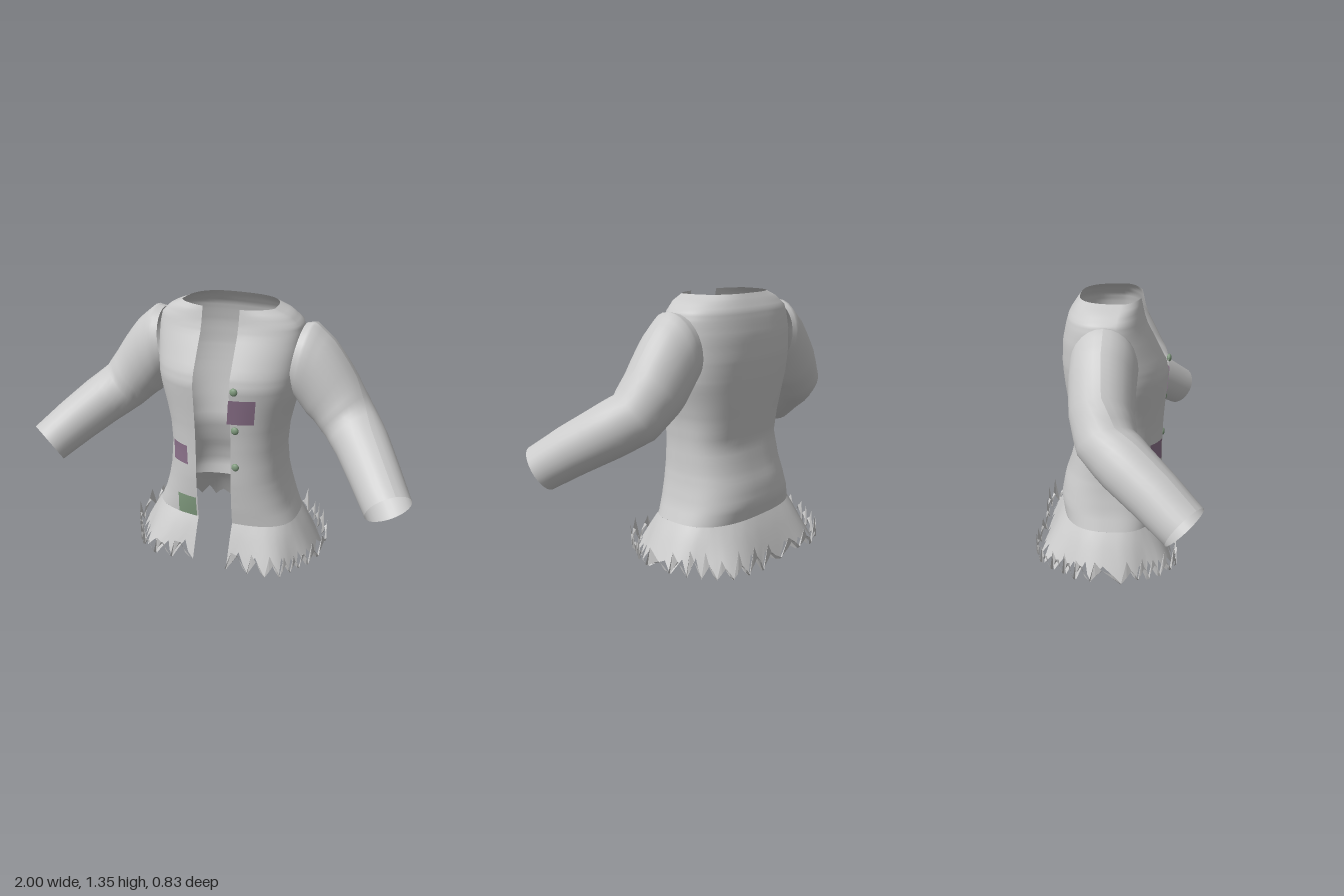
import * as THREE from 'three';

const cloth = new THREE.MeshStandardMaterial({ color: 0xcacaca, side: THREE.DoubleSide });
cloth.name = 'greyCloth';
const purple = new THREE.MeshStandardMaterial({ color: 0x8a7089, side: THREE.DoubleSide });
purple.name = 'purplePatch';
const green = new THREE.MeshStandardMaterial({ color: 0x809a7e, side: THREE.DoubleSide });
green.name = 'greenPatch';

const GAP = 0.095; // half width of the front opening

// Body sections: y, half width, front z, back z, z of the widest point, front and back roundness
const ROWS = [
  [1.36, 0.24, 0.14, -0.172, 0.04, 1.1, 0.7],
  [1.33, 0.31, 0.142, -0.195, 0.03, 1.0, 0.7],
  [1.285, 0.36, 0.15, -0.225, 0.01, 0.9, 0.72],
  [1.24, 0.372, 0.165, -0.238, 0, 0.85, 0.75],
  [1.165, 0.375, 0.205, -0.254, 0, 0.85, 0.75],
  [1.06, 0.37, 0.26, -0.26, 0, 0.85, 0.75],
  [1.0, 0.365, 0.275, -0.256, 0, 0.85, 0.75],
  [0.94, 0.357, 0.27, -0.25, 0, 0.85, 0.75],
  [0.835, 0.328, 0.26, -0.237, 0, 0.82, 0.75],
  [0.74, 0.308, 0.253, -0.222, 0, 0.8, 0.75],
  [0.62, 0.301, 0.25, -0.204, 0, 0.8, 0.75],
  [0.49, 0.31, 0.25, -0.237, 0, 0.78, 0.75],
  [0.41, 0.325, 0.244, -0.265, 0, 0.75, 0.75],
  [0.32, 0.35, 0.236, -0.282, 0, 0.72, 0.75],
  [0.24, 0.385, 0.225, -0.267, 0, 0.7, 0.75],
];
const HEM = [0.02, 0.495, 0.325, -0.395, 0, 0.65, 0.75];

const mix = (a, b, t) => a.map((v, i) => v + (b[i] - v) * t);

function rowAt(y) {
  let i = 0;
  while (i < ROWS.length - 2 && y < ROWS[i + 1][0]) i++;
  return mix(ROWS[i], ROWS[i + 1], (y - ROWS[i][0]) / (ROWS[i + 1][0] - ROWS[i][0]));
}

// Point on a section; u runs from the left front edge round the back to the right front edge
function sectionPoint([y, w, zf, zb, cz, ef, eb], u, grow = 0) {
  const start = Math.asin(Math.pow(GAP / w, 1 / ef));
  const a = start + u * (2 * Math.PI - 2 * start);
  const s = Math.sin(a), c = Math.cos(a), e = c > 0 ? ef : eb;
  const x = Math.sign(s) * Math.pow(Math.abs(s), e) * w;
  const z = cz + Math.sign(c) * Math.pow(Math.abs(c), e) * (c > 0 ? zf - cz : cz - zb);
  const edge = Math.min(1, Math.min(u, 1 - u) * 12); // keeps the opening straight
  return [x * (1 + edge * grow / w), y, z + Math.sign(c) * Math.min(1, Math.abs(c) * 2) * grow];
}

function frontZ(x, y) {
  const [, w, zf, , cz, ef] = rowAt(y);
  const s = Math.pow(Math.abs(x) / w, 1 / ef);
  return cz + (zf - cz) * Math.pow(Math.sqrt(1 - s * s), ef);
}

// Surface over a grid of points
function loft(nu, nv, point, flat = false) {
  const pos = [], idx = [];
  for (let j = 0; j <= nv; j++) for (let i = 0; i <= nu; i++) pos.push(...point(i, j));
  for (let j = 0; j < nv; j++) for (let i = 0; i < nu; i++) {
    const a = j * (nu + 1) + i, b = a + nu + 1;
    idx.push(a, a + 1, b, a + 1, b + 1, b);
  }
  let g = new THREE.BufferGeometry();
  g.setAttribute('position', new THREE.Float32BufferAttribute(pos, 3));
  g.setIndex(idx);
  if (flat) g = g.toNonIndexed();
  g.computeVertexNormals();
  return g;
}

function add(parent, name, geometry, material) {
  const m = new THREE.Mesh(geometry, material);
  m.name = name;
  parent.add(m);
  return m;
}

// Sleeve stations: centre, direction, vertical radius, sideways radius
const SLEEVE = [
  [0.35, 1.11, -0.03, 1, -0.15, 0, 0.175, 0.15],
  [0.39, 1.095, -0.03, 1, -0.17, 0, 0.2, 0.158],
  [0.455, 1.03, -0.033, 1, -0.33, 0, 0.195, 0.155],
  [0.54, 0.925, -0.03, 0.8, -0.65, 0.05, 0.158, 0.148],
  [0.625, 0.825, 0, 0.72, -0.62, 0.35, 0.14, 0.14],
  [0.715, 0.755, 0.095, 0.57, -0.5, 0.65, 0.133, 0.132],
  [0.81, 0.67, 0.22, 0.52, -0.5, 0.69, 0.124, 0.122],
  [0.905, 0.578, 0.343, 0.52, -0.5, 0.69, 0.113, 0.113],
];

function sleeveGeometry(side) {
  const per = 3, sides = 28;
  return loft(sides, (SLEEVE.length - 1) * per, (i, j) => {
    const k = Math.min(SLEEVE.length - 2, Math.floor(j / per));
    const s = mix(SLEEVE[k], SLEEVE[k + 1], j / per - k);
    const n = new THREE.Vector3(s[3], s[4], s[5]).normalize();
    const across = new THREE.Vector3().crossVectors(n, new THREE.Vector3(0, 1, 0)).normalize();
    const up = new THREE.Vector3().crossVectors(across, n);
    const a = side * (i / sides) * Math.PI * 2;
    const p = new THREE.Vector3(s[0], s[1], s[2])
      .addScaledVector(up, Math.cos(a) * s[6]).addScaledVector(across, Math.sin(a) * s[7]);
    return [p.x * side, p.y, p.z];
  });
}

// Thin patch that follows the front of the body
function patchGeometry(x0, x1, y0, y1, tilt) {
  const n = 4;
  return loft(n, n, (i, j) => {
    const x = x0 + (x1 - x0) * i / n + tilt * (j / n - 0.5);
    const y = y1 + (y0 - y1) * j / n;
    return [x, y, frontZ(x, y) + 0.008];
  }).scale(1, 1, 1);
}

export function createModel() {
  const jacket = new THREE.Group();
  jacket.name = 'tornJacket';
  let seed = 7;
  const rand = () => (seed = (seed * 16807) % 2147483647) / 2147483647;

  // Open-fronted body
  const steps = 3;
  add(jacket, 'body', loft(64, (ROWS.length - 1) * steps, (i, j) => {
    const k = Math.min(ROWS.length - 2, Math.floor(j / steps));
    return sectionPoint(mix(ROWS[k], ROWS[k + 1], j / steps - k), i / 64);
  }), cloth);

  // Sleeves, open at the cuffs
  for (const side of [1, -1]) {
    add(jacket, side > 0 ? 'leftSleeve' : 'rightSleeve', sleeveGeometry(side), cloth);
  }

  // Flared skirt with a wavy, jagged hem
  const teeth = 30, cols = teeth * 4;
  const top = ROWS[ROWS.length - 1];
  const wave = (u) => 0.016 * Math.cos((u - 0.5) * Math.PI * 12 + Math.PI);
  const flare = (y, u, out = 0) => {
    const t = Math.min(1, (top[0] - y) / (top[0] - HEM[0]));
    const p = sectionPoint(mix(top, HEM, Math.pow(t, 0.9)), u, wave(u) * t + out);
    p[1] = y;
    return p;
  };
  const tips = [], notches = [], spikes = [];
  for (let i = 0; i <= teeth; i++) {
    tips.push(0.005 + rand() * 0.025);
    notches.push(0.07 + rand() * 0.04);
    spikes.push(0.11 + rand() * 0.07);
  }
  const hemY = (i) => {
    const k = Math.min(teeth, Math.floor(i / 4)), f = [0, 0.55, 1, 0.45][i % 4];
    return tips[k] + (notches[k] - tips[k]) * f;
  };
  add(jacket, 'skirt', loft(cols, 5, (i, j) => {
    const y = top[0] + (hemY(i) - top[0]) * j / 5;
    return flare(y, i / cols);
  }), cloth);

  // Torn strips turned up around the hem
  add(jacket, 'tornHem', loft(cols, 1, (i, j) => {
    const k = Math.min(teeth, Math.floor(i / 4)), phase = i % 4;
    const low = hemY(i) + 0.004;
    const high = phase === 1 ? spikes[k] : low + [0.012, 0, 0.008, 0.02][phase];
    const p = flare(0.02, i / cols, j === 0 ? 0.018 : 0.006 + 0.008 * (phase % 2));
    p[1] = j === 0 ? high : low;
    return p;
  }, true), cloth);

  // Sewn-on patches
  add(jacket, 'chestPatch', patchGeometry(0.088, 0.215, 0.825, 0.955, -0.012), purple);
  add(jacket, 'waistPatch', patchGeometry(-0.24, -0.143, 0.55, 0.655, 0.004), purple);
  add(jacket, 'hipPatch', patchGeometry(-0.21, -0.1, 0.245, 0.362, 0), green);

  // Buttons
  for (const y of [1.0, 0.79, 0.585]) {
    const b = add(jacket, 'button', new THREE.SphereGeometry(0.02, 14, 10), green);
    b.scale.z = 0.6;
    b.position.set(0.12, y, frontZ(0.12, y) + 0.005);
  }
  return jacket;
}
